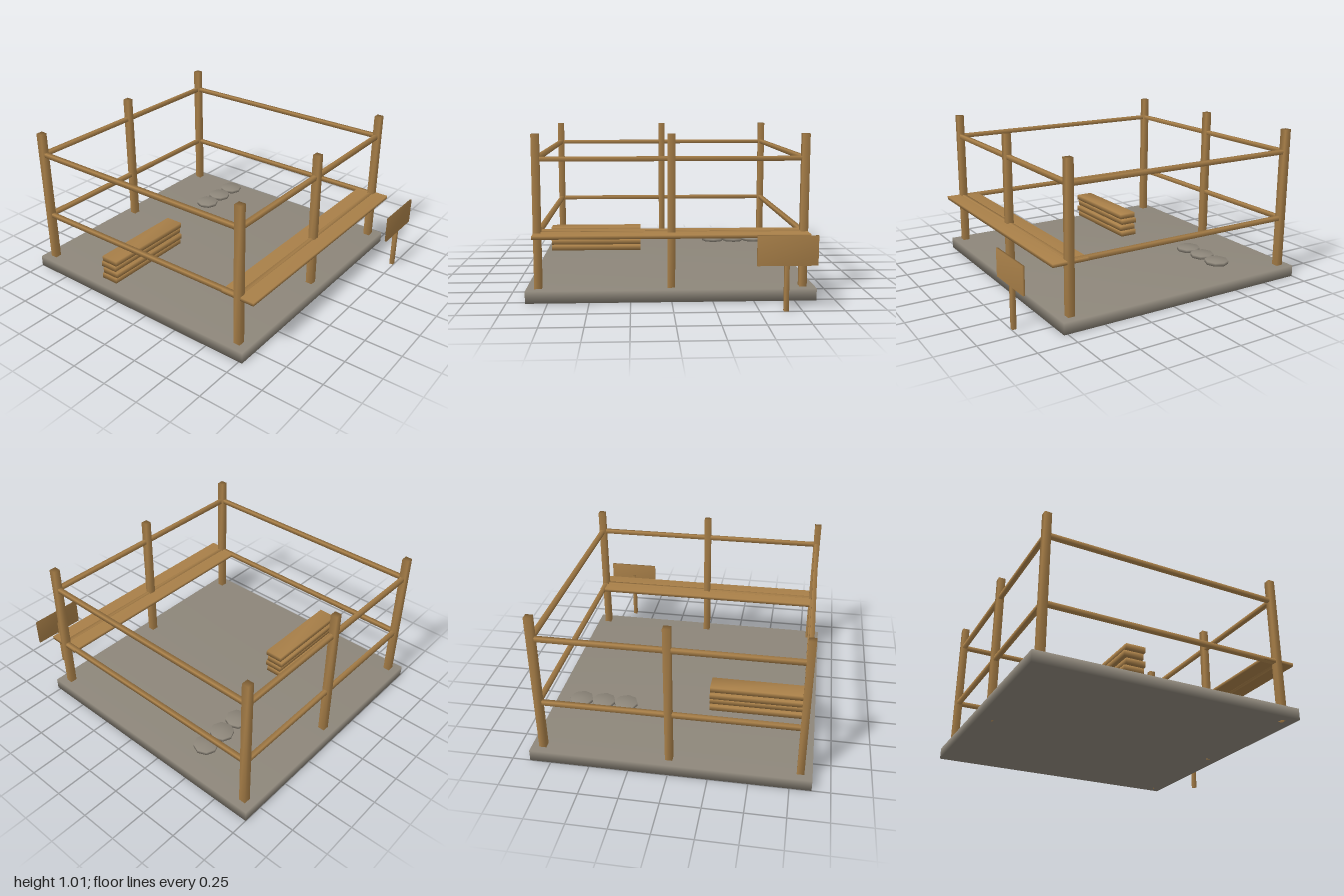
import * as THREE from 'three';
import { mergeVertices } from 'three/addons/utils/BufferGeometryUtils.js';

const wood = new THREE.MeshStandardMaterial({ color: 0xa87f48 });
wood.name = 'wood';
const stone = new THREE.MeshStandardMaterial({ color: 0x8d867a });
stone.name = 'stone';

// Share corner vertices so normals blend softly over the edges
function soften(geometry) {
  geometry.deleteAttribute('normal');
  geometry.deleteAttribute('uv');
  geometry.clearGroups();
  const merged = mergeVertices(geometry, 1e-4);
  merged.computeVertexNormals();
  return merged;
}

export function createModel() {
  const model = new THREE.Group();
  model.name = 'fencedPlatform';

  function add(name, geometry, material, x, y, z) {
    const mesh = new THREE.Mesh(soften(geometry), material);
    mesh.name = name;
    mesh.position.set(x, y, z);
    model.add(mesh);
  }
  // Box centred on (x, y, z)
  const box = (name, material, w, h, d, x, y, z) =>
    add(name, new THREE.BoxGeometry(w, h, d), material, x, y, z);

  const frontZ = 0.697, backZ = -0.927, sideX = 0.812;
  const midZ = (frontZ + backZ) / 2;

  // Ground slab
  box('slab', stone, 1.77, 0.075, 1.775, 0, 0.0375, -0.1125);

  // Six posts
  for (const z of [frontZ, backZ]) {
    for (const x of [-sideX, 0, sideX]) {
      box('post', wood, 0.046, 1.015, 0.046, x, 0.5075, z);
    }
  }

  // Two levels of rails on all four sides
  for (const y of [0.41, 0.865]) {
    for (const z of [frontZ, backZ]) {
      box('crossRail', wood, 1.665, 0.028, 0.028, 0, y, z);
    }
    for (const x of [-sideX, sideX]) {
      box('sideRail', wood, 0.028, 0.028, 1.665, x, y, midZ);
    }
  }

  // Counter board on the front rail
  box('counter', wood, 1.665, 0.022, 0.23, 0, 0.409, 0.698);

  // Stack of planks, alternately shifted
  for (let i = 0; i < 4; i++) {
    const shift = i % 2 ? 0.006 : -0.006;
    box('plank', wood, 0.655, 0.036, 0.125, -0.508, 0.117 + i * 0.046, -0.358 + shift);
  }

  // Row of flat round stones
  for (let i = 0; i < 3; i++) {
    add('flatStone', new THREE.CylinderGeometry(0.079, 0.079, 0.022, 8), stone,
      0.377 + i * 0.154, 0.141, -0.495);
  }

  // Sign in front
  box('signBoard', wood, 0.355, 0.176, 0.013, 0.657, 0.358, 0.9935);
  box('signPost', wood, 0.027, 0.355, 0.027, 0.655, 0.1775, 0.983);

  return model;
}
